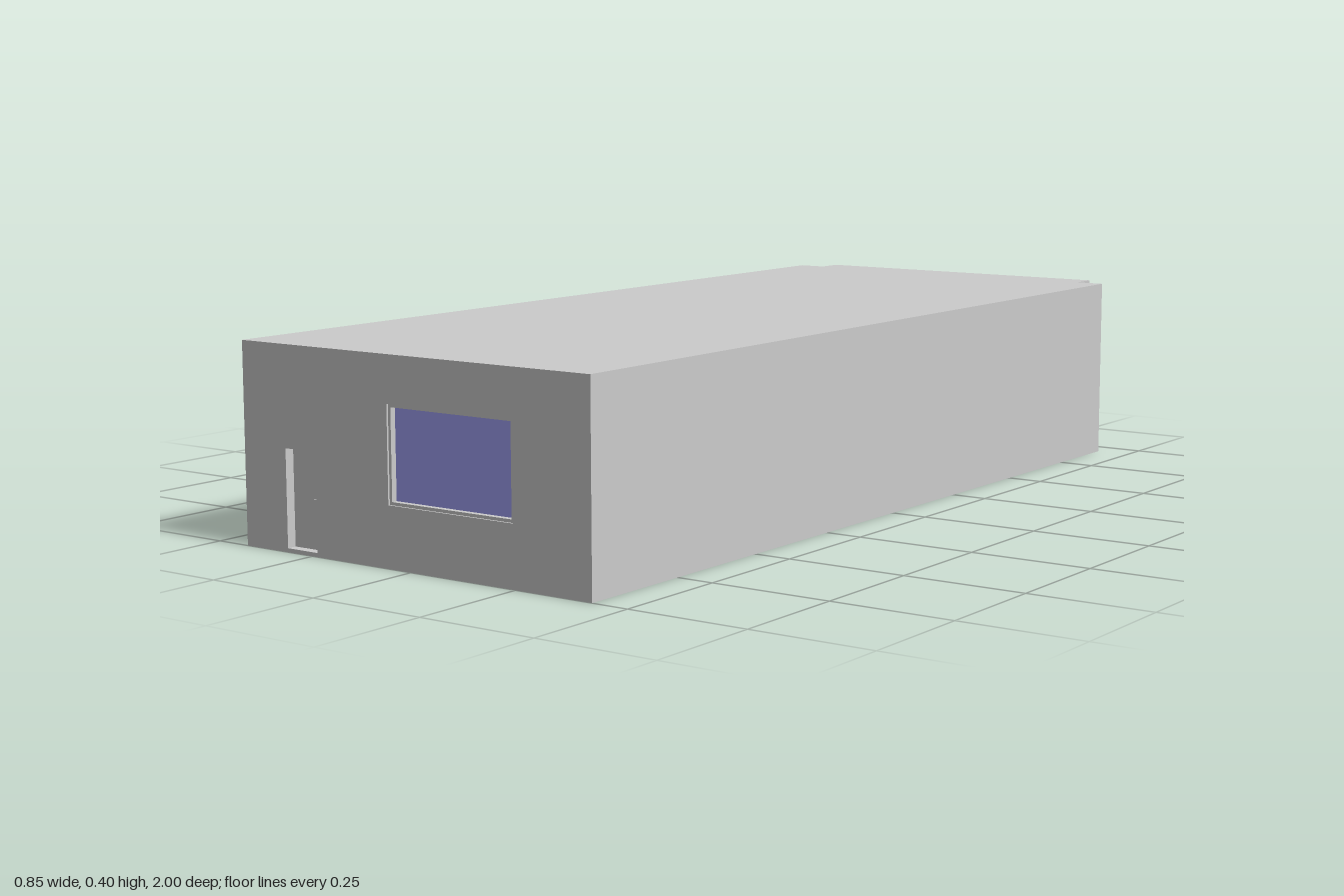
import * as THREE from 'three';

const grey = new THREE.MeshStandardMaterial({ color: 0xcccccc, flatShading: true });
const glass = new THREE.MeshStandardMaterial({ color: 0xa0a0f4, flatShading: true });

const W = 0.423;      // half width of the hall
const BAY = 0.36;     // half width of the rear bay
const H = 0.4;        // height
const STEP = -0.94;   // where the rear bay begins
const RECESS = 0.02;  // depth of window, door and porthole recesses

function add(parent, name, geometry, material, x = 0, y = 0, z = 0) {
  const mesh = new THREE.Mesh(geometry, material);
  mesh.name = name;
  mesh.position.set(x, y, z);
  parent.add(mesh);
  return mesh;
}

function rect(Type, x0, y0, x1, y1) {
  const p = new Type();
  p.moveTo(x0, y0);
  p.lineTo(x1, y0);
  p.lineTo(x1, y1);
  p.lineTo(x0, y1);
  p.closePath();
  return p;
}

// Extruded slab with cut-outs, from z = 0 to z = depth
function slab(outline, holes, depth) {
  outline.holes.push(...holes);
  return new THREE.ExtrudeGeometry(outline, { depth, bevelEnabled: false, curveSegments: 12 });
}

// Thin rectangular frame around an opening
function frame(x0, y0, x1, y1, t, depth) {
  return slab(rect(THREE.Shape, x0, y0, x1, y1),
    [rect(THREE.Path, x0 + t, y0 + t, x1 - t, y1 - t)], depth);
}

export function createModel() {
  const model = new THREE.Group();
  model.name = 'building';

  // Main block with stepped rear corners, kept behind the two end walls
  const front = 1 - RECESS, back = -1 + RECESS;
  const plan = new THREE.Shape([
    [-W, -front], [W, -front], [W, -STEP], [BAY, -STEP],
    [BAY, -back], [-BAY, -back], [-BAY, -STEP], [-W, -STEP],
  ].map(([x, y]) => new THREE.Vector2(x, y)));
  add(model, 'mainBlock', slab(plan, [], H).rotateX(-Math.PI / 2), grey);

  // Front wall with window and door openings
  const win = [-0.052, 0.12, 0.246, 0.308];
  const door = [-0.314, 0.008, -0.236, 0.201];
  add(model, 'frontWall', slab(rect(THREE.Shape, -W, 0, W, H),
    [rect(THREE.Path, ...win), rect(THREE.Path, ...door)], RECESS), grey, 0, 0, front);
  add(model, 'frontWindowFrame', frame(...win, 0.006, 0.016), grey, 0, 0, front);
  add(model, 'frontWindowGlass', new THREE.BoxGeometry(0.286, 0.176, 0.004), glass,
    0.097, 0.214, front + 0.002);

  // Door handle
  add(model, 'doorHandle', new THREE.BoxGeometry(0.011, 0.003, 0.004), grey, -0.25, 0.105, front + 0.006);
  add(model, 'doorHandleStem', new THREE.BoxGeometry(0.003, 0.003, 0.005), grey, -0.246, 0.105, front + 0.0025);

  // Rear wall with a long window opening and two portholes
  const strip = [-0.342, 0.165, 0.342, 0.345];
  const portholes = [0.283, -0.233].map((x) => {
    const p = new THREE.Path();
    p.absarc(x, 0.086, 0.019, 0, Math.PI * 2, true);
    return p;
  });
  add(model, 'rearWall', slab(rect(THREE.Shape, -BAY, 0, BAY, H),
    [rect(THREE.Path, ...strip), ...portholes], RECESS), grey, 0, 0, -1);
  add(model, 'rearWindowFrame', frame(...strip, 0.004, 0.012), grey, 0, 0, back - 0.012);

  // Three panes separated by slim mullions
  for (const i of [-1, 0, 1]) {
    add(model, 'rearWindowPane', new THREE.BoxGeometry(0.2235, 0.172, 0.004), glass,
      i * 0.2265, 0.255, back - 0.002);
  }
  for (const x of [-0.113, 0.113]) {
    add(model, 'rearMullion', new THREE.BoxGeometry(0.005, 0.172, 0.01), grey, x, 0.255, back - 0.005);
  }

  return model;
}
